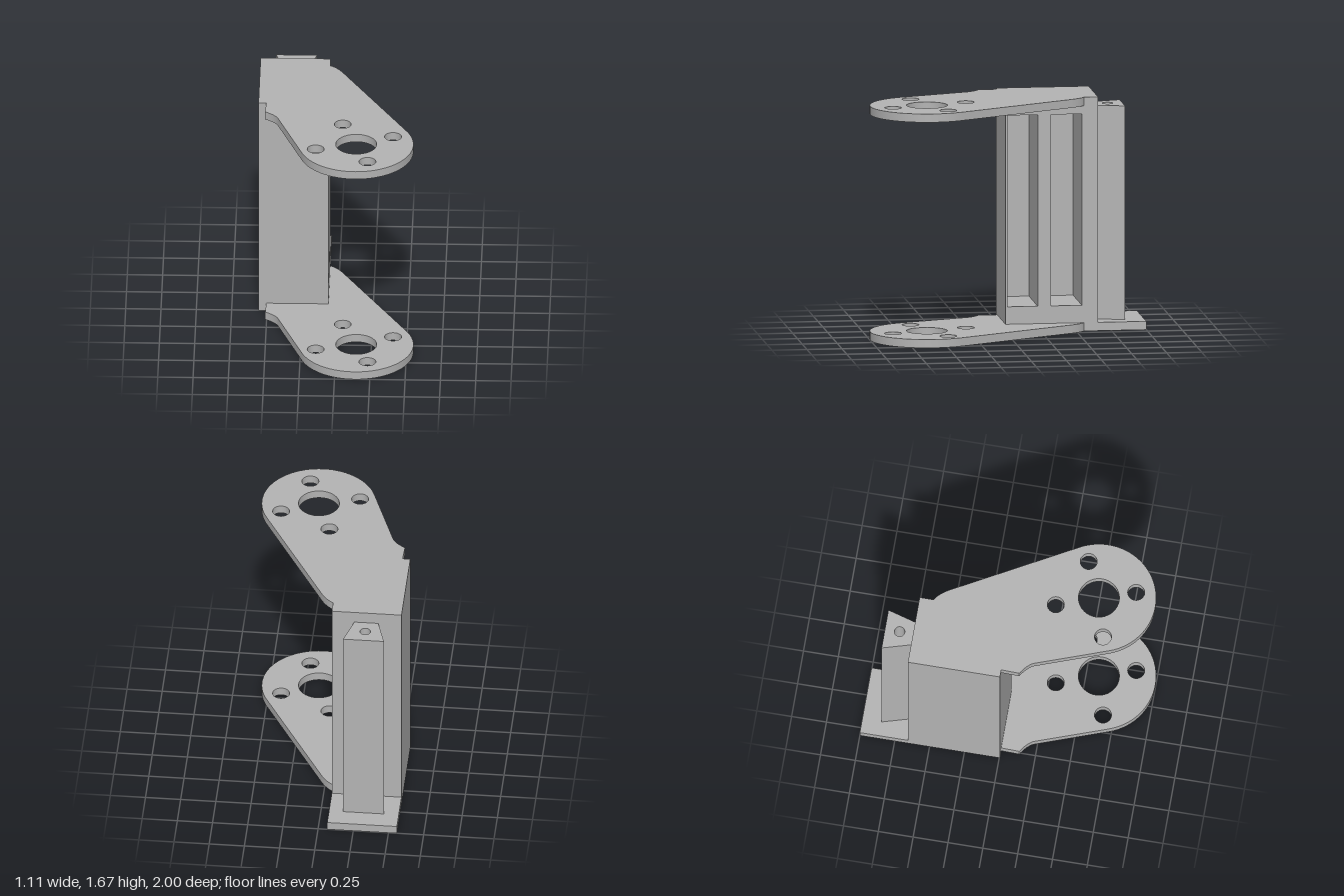
import * as THREE from 'three';
import { toCreasedNormals } from 'three/addons/utils/BufferGeometryUtils.js';

const XL = -0.56, XR = -0.065;          // sides of the upright block
const ZF = 0.005, ZB = -0.655;          // front and back of the upright block
const PLATE = 0.06, TOP = 1.675;

const grey = new THREE.MeshStandardMaterial({ color: 0xb3b3b3 });
grey.name = 'plain grey';

function circle(x, y, r) {
  return new THREE.Path().absarc(x, y, r, 0, Math.PI * 2, true);
}

function polygon(points, Kind = THREE.Shape) {
  return new Kind(points.map(([x, y]) => new THREE.Vector2(x, y)));
}

// Extrudes a plan outline (x, -z) upwards from y0 to y1
function upright(name, shape, y0, y1) {
  const geo = new THREE.ExtrudeGeometry(shape, { depth: y1 - y0, bevelEnabled: false, curveSegments: 20 });
  geo.rotateX(-Math.PI / 2).translate(0, y0, 0);
  const mesh = new THREE.Mesh(toCreasedNormals(geo, 0.6), grey);
  mesh.name = name;
  return mesh;
}

// Arm plate: square rear, tapering to a round flange with bolt holes
function armShape(back) {
  const cx = 0.145, cy = -0.595, r = 0.405;
  const s = new THREE.Shape();
  s.moveTo(XL, -back);
  s.lineTo(XL, -ZF);
  s.lineTo(-0.505, -ZF);
  s.lineTo(-0.51, -0.135);
  s.quadraticCurveTo(-0.445, -0.175, -0.42, -0.22);
  s.absarc(cx, cy, r, Math.PI + 0.345, Math.PI * 2 + 0.52, false);
  s.lineTo(0.035, 0.44);
  s.quadraticCurveTo(-0.01, 0.525, XR, 0.555);
  s.lineTo(XR, -back);
  s.closePath();
  s.holes.push(circle(cx, cy, 0.145));
  for (const [x, z] of [[0.043, 0.303], [0.403, 0.478], [-0.14, 0.673], [0.23, 0.848]]) {
    s.holes.push(circle(x, -z, 0.06));
  }
  return s;
}

// Upright block: thin solid skin on one side, two tall pockets on the other
function makeBlock() {
  const group = new THREE.Group();
  group.name = 'uprightBlock';
  const skin = 0.03, y0 = PLATE, y1 = TOP - PLATE;

  const frame = polygon([[-ZF, y0], [-ZB, y0], [-ZB, y1], [-ZF, y1]]);
  for (const [a, b] of [[0.01, 0.225], [0.32, 0.54]]) {
    frame.holes.push(polygon([[a, 0.185], [a, 1.555], [b, 1.555], [b, 0.185]], THREE.Path));
  }
  const frameGeo = new THREE.ExtrudeGeometry(frame, { depth: XR - XL - skin, bevelEnabled: false });
  frameGeo.rotateY(Math.PI / 2).translate(XL + skin, 0, 0);
  const pocketFrame = new THREE.Mesh(frameGeo, grey);
  pocketFrame.name = 'pocketFrame';

  const wall = new THREE.Mesh(new THREE.BoxGeometry(skin, y1 - y0, ZF - ZB), grey);
  wall.position.set(XL + skin / 2, (y0 + y1) / 2, (ZF + ZB) / 2);
  wall.name = 'sideWall';

  group.add(pocketFrame, wall);
  return group;
}

export function createModel() {
  const model = new THREE.Group();
  model.name = 'motorBracket';

  model.add(upright('bottomPlate', armShape(-1), 0, PLATE));
  model.add(upright('topPlate', armShape(ZB), TOP - PLATE, TOP));
  model.add(makeBlock());

  // Dovetail rail on the back with a bored hole
  const rail = polygon([[-0.395, -ZB], [-0.225, -ZB], [-0.165, 0.862], [-0.455, 0.862]]);
  rail.holes.push(circle(-0.312, 0.757, 0.037));
  model.add(upright('dovetailRail', rail, PLATE, 1.59));

  return model;
}
